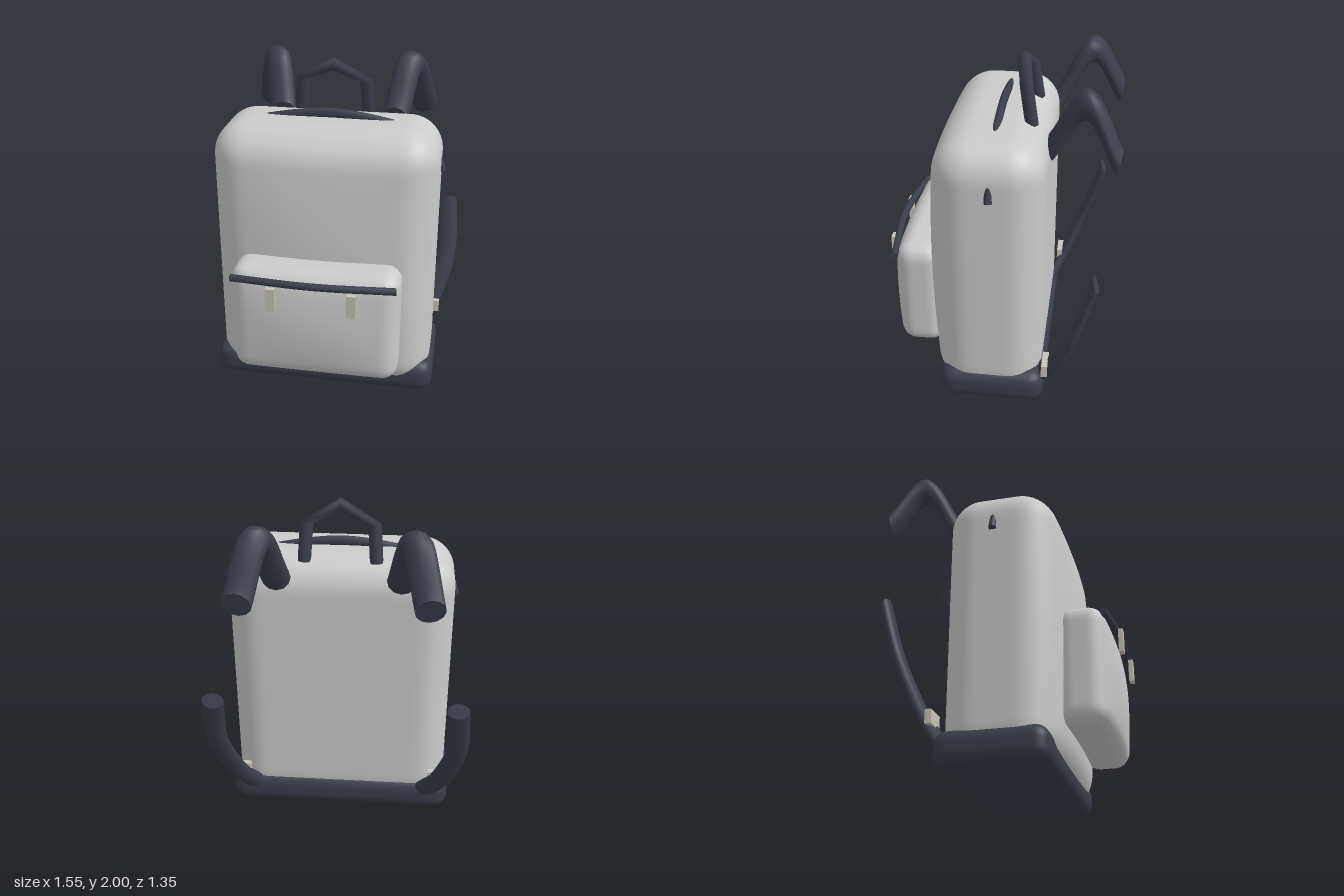
import * as THREE from 'three';
import { mergeGeometries, mergeVertices } from 'three/addons/utils/BufferGeometryUtils.js';

const fabric = new THREE.MeshStandardMaterial({ color: 0xcccccc });
const dark = new THREE.MeshStandardMaterial({ color: 0x3a3e4a });
const metal = new THREE.MeshStandardMaterial({ color: 0xc8c4b8 });

// Soft box between two corners: rounded edges, front face puffed out by bulge
function softBox([x0, y0, z0], [x1, y1, z1], r, bulge, segs) {
  const half = new THREE.Vector3(x1 - x0, y1 - y0, z1 - z0).multiplyScalar(0.5);
  let geo = new THREE.BoxGeometry(half.x * 2, half.y * 2, half.z * 2, ...segs);
  geo.deleteAttribute('normal');
  geo.deleteAttribute('uv');
  geo = mergeVertices(geo);
  const pos = geo.attributes.position;
  const inner = half.clone().subScalar(r);
  const low = inner.clone().negate();
  const p = new THREE.Vector3();
  for (let i = 0; i < pos.count; i++) {
    p.fromBufferAttribute(pos, i);
    const core = p.clone().clamp(low, inner);
    p.sub(core).setLength(r).add(core);
    const u = p.x / half.x, v = p.y / half.y;
    const front = Math.max(0, p.z / half.z);
    p.z += bulge * front * (1 - u * u) * (1 - v * v);
    pos.setXYZ(i, p.x, p.y, p.z);
  }
  geo.translate((x0 + x1) / 2, (y0 + y1) / 2, (z0 + z1) / 2);
  geo.computeVertexNormals();
  return geo;
}

// Capped tube along points; flat < 1 squeezes its section in z
function cord(points, r, flat = 1, segs = 20, tension = 0.5) {
  const curve = new THREE.CatmullRomCurve3(
    points.map(([x, y, z]) => new THREE.Vector3(x, y, z / flat)), false, 'catmullrom', tension);
  const parts = [new THREE.TubeGeometry(curve, segs, r, 12)];
  for (const t of [0, 1]) {
    const out = curve.getTangentAt(t).multiplyScalar(t ? 1 : -1);
    const at = curve.getPointAt(t);
    parts.push(new THREE.CircleGeometry(r, 12).lookAt(out).translate(at.x, at.y, at.z));
  }
  return mergeGeometries(parts).scale(1, 1, flat);
}

export function createModel() {
  const group = new THREE.Group();
  const add = (name, geo, mat) => {
    const mesh = new THREE.Mesh(geo, mat);
    mesh.name = name;
    group.add(mesh);
    return mesh;
  };

  // Main bag, base and front pocket
  add('body', softBox([-0.66, 0.02, -0.27], [0.66, 1.68, 0.35], 0.2, 0.078, [36, 44, 24]), fabric);
  add('base', softBox([-0.685, 0, -0.292], [0.685, 0.215, 0.335], 0.085, 0, [40, 14, 28]), dark);
  add('frontPocket', softBox([-0.49, 0.25, 0.34], [0.49, 0.94, 0.605], 0.09, 0.05, [36, 28, 16]), fabric);

  // Zips: the main one dips into the bag at the top corners
  const zip = [[0.66, 1.385], [0.615, 1.5], [0.5, 1.605], [0.3, 1.665], [0, 1.7]];
  const fullZip = [...zip, ...zip.slice(0, -1).reverse().map(([x, y]) => [-x, y])];
  add('mainZip', cord(fullZip.map(([x, y]) => [x, y, 0.025]), 0.032, 0.72, 48), dark);
  add('pocketZip', cord([[-0.475, 0.883, 0.61], [0, 0.893, 0.655], [0.475, 0.883, 0.61]], 0.021), dark);

  // Angular grab handle
  add('topHandle', cord([[-0.205, 1.645, -0.16], [-0.19, 1.87, -0.125], [0, 1.962, -0.093],
    [0.19, 1.87, -0.125], [0.205, 1.645, -0.16]], 0.038, 1, 4, 0), dark);

  for (const side of [-1, 1]) {
    const name = side > 0 ? 'left' : 'right';
    const mirror = (pts) => pts.map(([x, y, z]) => [x * side, y, z]);

    // Shoulder strap: upper arch and lower tail
    add(name + 'UpperStrap', cord(mirror([[0.35, 1.59, -0.28], [0.42, 1.882, -0.47],
      [0.505, 1.595, -0.652]]), 0.083, 0.38, 16), dark);
    add(name + 'LowerStrap', cord(mirror([[0.54, 0.16, -0.27], [0.63, 0.3, -0.345],
      [0.71, 0.6, -0.465], [0.695, 0.942, -0.571]]), 0.064, 0.38), dark);

    // Strap and pocket buckles
    add(name + 'StrapBuckle', new THREE.BoxGeometry(0.135, 0.078, 0.036), metal)
      .position.set(0.622 * side, 0.28, -0.3);
    add(name + 'PocketBuckle', new THREE.BoxGeometry(0.055, 0.14, 0.027), metal)
      .position.set(0.23 * side, 0.8, 0.672);
  }
  return group;
}
